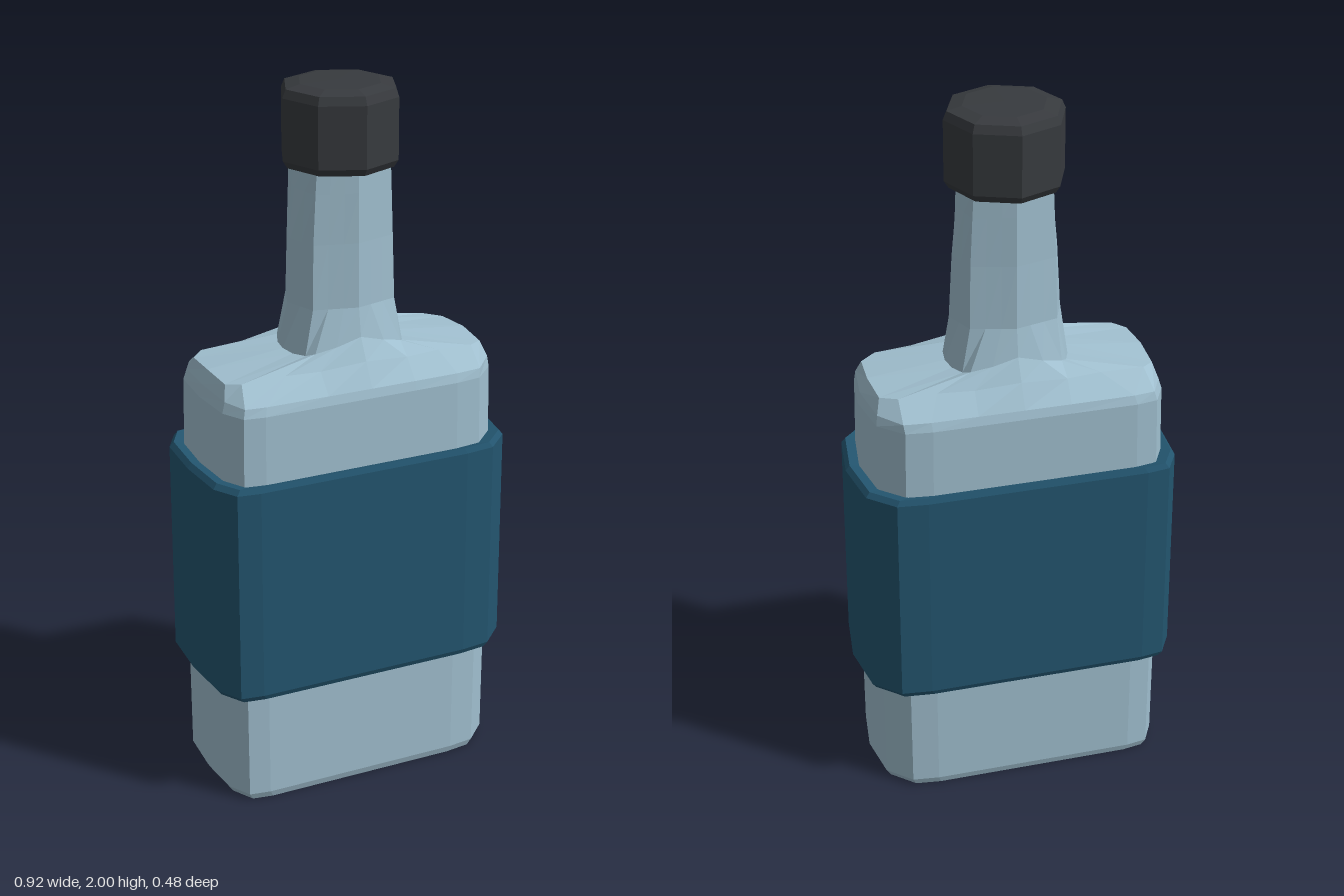
import * as THREE from 'three';

// Ring of 20 points: six stations from the side (z = 0) to the middle of the front,
// mirrored in z. right/left are x distances, zs depths, ys heights (number or list).
function ring(ys, right, left, zs) {
  const y = (i) => (Array.isArray(ys) ? ys[i] : ys);
  const pts = [];
  for (let i = 0; i <= 5; i++) pts.push([right[i], y(i), zs[i]]);
  for (let i = 4; i >= 0; i--) pts.push([-left[i], y(i), zs[i]]);
  for (let i = 1; i <= 5; i++) pts.push([-left[i], y(i), -zs[i]]);
  for (let i = 4; i >= 1; i--) pts.push([right[i], y(i), -zs[i]]);
  return pts;
}

// Faceted skin through a stack of rings, from bottom to top
function loft(rings) {
  const n = rings[0].length;
  const index = [];
  for (let r = 0; r < rings.length - 1; r++) {
    for (let j = 0; j < n; j++) {
      const a = r * n + j, b = r * n + (j + 1) % n, c = a + n, d = b + n;
      index.push(a, c, b, b, c, d);
    }
  }
  const g = new THREE.BufferGeometry();
  g.setAttribute('position', new THREE.Float32BufferAttribute(rings.flat(2), 3));
  g.setIndex(index);
  return faceted(g);
}

function faceted(g) {
  const flat = g.toNonIndexed();
  flat.computeVertexNormals();
  return flat;
}

const scaled = (list, s) => list.map((v) => v * s);

// Neck section: an octagon with corners at the side, the diagonal and the front
function neckRing(y, side, cx, cz, front) {
  const xs = [side, (side + cx) / 2, cx, cx * 0.67, cx * 0.33, 0];
  const zs = [0, cz / 2, cz, cz + (front - cz) * 0.33, cz + (front - cz) * 0.67, front];
  return ring(y, xs, xs, zs);
}

export function createModel() {
  const glass = new THREE.MeshStandardMaterial({ color: 0xa0bfcf });
  glass.name = 'pale blue glass';
  const blue = new THREE.MeshStandardMaterial({ color: 0x23556f });
  blue.name = 'label blue';
  const dark = new THREE.MeshStandardMaterial({ color: 0x373a3e });
  dark.name = 'cap charcoal';

  const model = new THREE.Group();
  model.name = 'bottle';
  const add = (name, geometry, material) => {
    const mesh = new THREE.Mesh(geometry, material);
    mesh.name = name;
    model.add(mesh);
  };

  // Body, shoulders and neck in one skin
  const bR = [0.42, 0.4, 0.335, 0.26, 0.13, 0];
  const bL = [0.425, 0.415, 0.38, 0.32, 0.13, 0];
  const bZ = [0, 0.14, 0.205, 0.215, 0.215, 0.215];
  const body = (y, s) => ring(y, scaled(bR, s), scaled(bL, s), scaled(bZ, s));
  add('glassBody', loft([
    body(0, 0),
    body(0, 0.965),
    body(0.02, 0.995),
    body(0.4, 1),
    body(0.9, 1),
    body(1.17, 0.99),
    ring([1.205, 1.2, 1.195, 1.195, 1.195, 1.195],
      [0.41, 0.392, 0.335, 0.26, 0.13, 0],
      [0.412, 0.402, 0.37, 0.31, 0.13, 0],
      [0, 0.135, 0.197, 0.205, 0.206, 0.206]),
    ring([1.245, 1.24, 1.245, 1.25, 1.25, 1.26],
      [0.388, 0.38, 0.335, 0.23, 0.128, 0],
      [0.395, 0.39, 0.355, 0.23, 0.132, 0],
      [0, 0.11, 0.142, 0.148, 0.16, 0.168]),
    ring([1.27, 1.27, 1.275, 1.285, 1.3, 1.32],
      [0.17, 0.163, 0.145, 0.128, 0.07, 0],
      [0.172, 0.165, 0.147, 0.128, 0.07, 0],
      [0, 0.05, 0.095, 0.118, 0.132, 0.135]),
    neckRing(1.4, 0.157, 0.122, 0.09, 0.122),
    neckRing(1.58, 0.147, 0.118, 0.086, 0.119),
    neckRing(1.72, 0.134, 0.112, 0.088, 0.12),
    neckRing(1.8, 0.127, 0.108, 0.09, 0.12),
  ]), glass);

  // Label sleeve with bevelled rims, wrapped around the body
  const sR = [0.457, 0.435, 0.365, 0.28, 0.13, 0];
  const sL = [0.46, 0.45, 0.41, 0.345, 0.13, 0];
  const sZ = [0, 0.16, 0.23, 0.24, 0.24, 0.24];
  const sleeve = (y, s) => ring(y, scaled(sR, s), scaled(sL, s), scaled(sZ, s));
  add('labelSleeve', loft([
    sleeve(0.345, 0.85),
    sleeve(0.335, 0.975),
    sleeve(0.35, 1),
    sleeve(0.965, 1),
    sleeve(0.98, 0.975),
    sleeve(0.972, 0.85),
  ]), blue);

  // Eight-sided screw cap
  const capProfile = [
    [0, 1.775], [0.153, 1.775], [0.166, 1.795], [0.166, 1.965],
    [0.156, 1.988], [0.115, 1.998], [0, 2],
  ].map(([r, y]) => new THREE.Vector2(r, y));
  add('cap', faceted(new THREE.LatheGeometry(capProfile, 8)), dark);

  return model;
}
